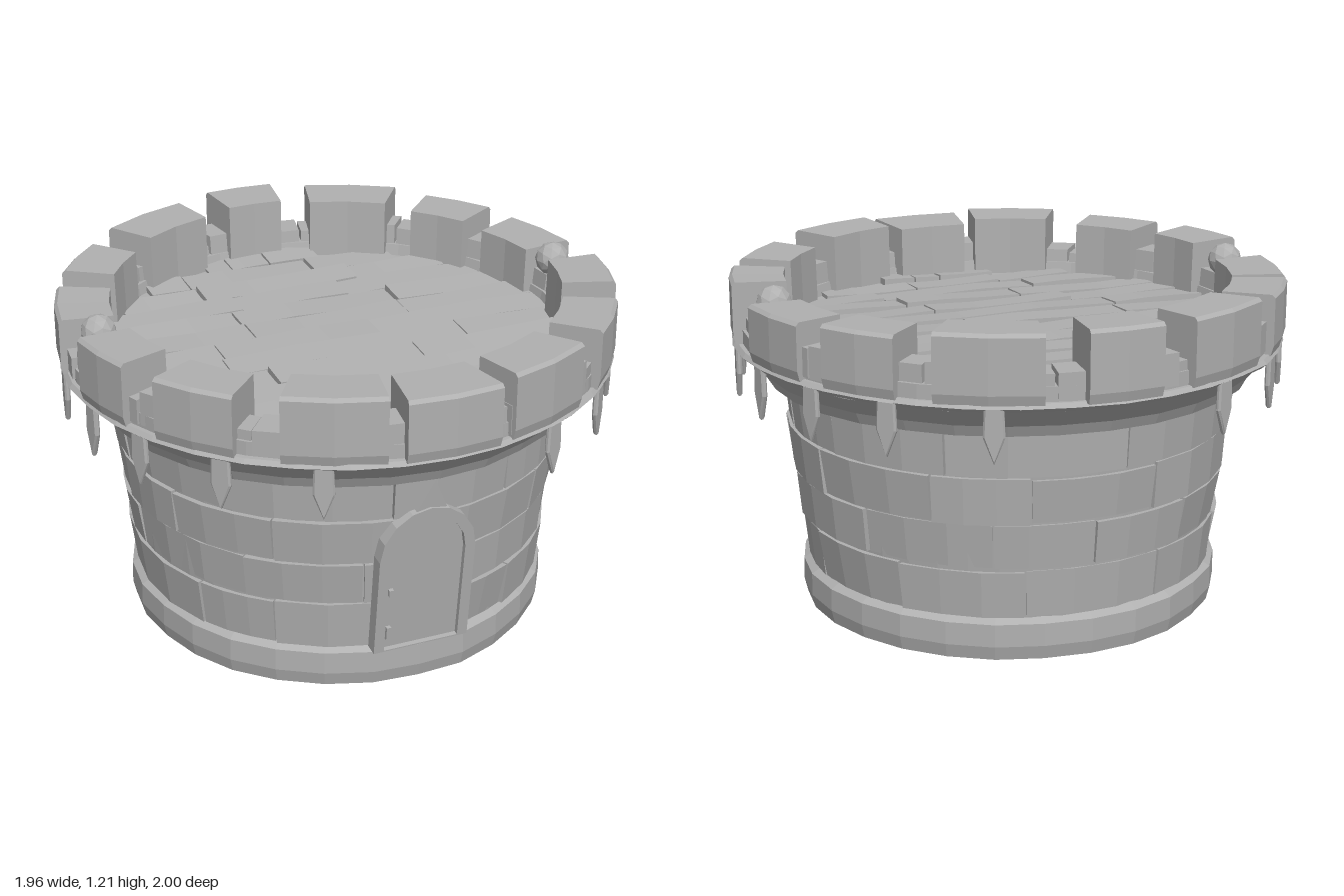
import * as THREE from 'three';

const TAU = Math.PI * 2, DEG = Math.PI / 180;

// Small seeded random, returns -1..1
let seed = 7;
const rnd = () => {
  seed = (seed * 16807) % 2147483647;
  return (seed / 2147483647) * 2 - 1;
};

// Sweeps a convex [radius, y] profile (counterclockwise) around the y axis;
// angle 0 faces the front. A full turn is closed, otherwise the ends are capped.
function sweep(profile, a0, a1, n, jitter = 0) {
  const closed = a1 - a0 > TAU - 0.001;
  const scale = Array.from({ length: n + 1 }, () => 1 + jitter * rnd());
  if (closed) scale[n] = scale[0];
  const point = (i, k) => {
    const a = a0 + ((a1 - a0) * i) / n;
    const [r, y] = profile[k % profile.length];
    return [Math.sin(a) * r * scale[i], y, Math.cos(a) * r * scale[i]];
  };
  const pos = [];
  for (let i = 0; i < n; i++) {
    for (let k = 0; k < profile.length; k++) {
      const ra = profile[k][0], rb = profile[(k + 1) % profile.length][0];
      const A = point(i, k), B = point(i, k + 1), C = point(i + 1, k), D = point(i + 1, k + 1);
      if (ra > 0) pos.push(...A, ...C, ...B);
      if (rb > 0) pos.push(...C, ...D, ...B);
    }
  }
  if (!closed) {
    for (let k = 1; k < profile.length - 1; k++) {
      pos.push(...point(0, 0), ...point(0, k), ...point(0, k + 1));
      pos.push(...point(n, 0), ...point(n, k + 1), ...point(n, k));
    }
  }
  const g = new THREE.BufferGeometry();
  g.setAttribute('position', new THREE.Float32BufferAttribute(pos, 3));
  g.computeVertexNormals();
  return g;
}

// Arch outline, straight sides with a rounded top
function arch(path, half, bottom, spring, rise) {
  path.moveTo(-half, bottom);
  path.lineTo(half, bottom);
  path.lineTo(half, spring);
  for (let i = 1; i <= 8; i++) {
    const a = (Math.PI * i) / 8;
    path.lineTo(Math.cos(a) * half, spring + Math.sin(a) * rise);
  }
  path.closePath();
  return path;
}

export function createModel() {
  seed = 7;
  const stone = new THREE.MeshStandardMaterial({ color: 0xb0b0b0, flatShading: true });
  stone.name = 'grey stone';
  const tower = new THREE.Group();
  tower.name = 'roundTower';
  const add = (name, geometry, parent = tower) => {
    const mesh = new THREE.Mesh(geometry, stone);
    mesh.name = name;
    parent.add(mesh);
    return mesh;
  };
  const group = (name) => {
    const g = new THREE.Group();
    g.name = name;
    tower.add(g);
    return g;
  };

  // Plinth and wall core
  add('plinth', sweep([[0, 0], [0.745, 0], [0.757, 0.05], [0.755, 0.13], [0.715, 0.155], [0, 0.155]], 0, TAU, 28, 0.006));
  add('wallCore', sweep([[0, 0.1], [0.722, 0.1], [0.798, 0.85], [0, 0.85]], 0, TAU, 44));

  // Four staggered courses of curved bricks
  const bricks = group('wallBricks');
  const wallR = (y) => 0.735 + (y - 0.15) * 0.118;
  const courses = [0.145, 0.325, 0.49, 0.66, 0.84];
  for (let row = 0; row < 4; row++) {
    const count = 11, start = row * 0.29;
    const joints = Array.from({ length: count }, (_, i) => start + (TAU * (i + 0.22 * rnd())) / count);
    joints.push(joints[0] + TAU);
    for (let i = 0; i < count; i++) {
      const y0 = courses[row] + 0.005 + rnd() * 0.004;
      const y1 = courses[row + 1] - 0.005 + rnd() * 0.004;
      const r0 = wallR(y0) + rnd() * 0.007, r1 = wallR(y1) + rnd() * 0.007;
      add('brick', sweep([[0.68, y0], [r0, y0], [r1, y1], [0.68, y1]],
        joints[i] + 0.005, joints[i + 1] - 0.005, 3, 0.003), bricks);
    }
  }

  // Flared cornice with a thin rim
  add('cornice', sweep([[0.76, 0.83], [0.865, 0.83], [0.885, 0.87], [0.945, 0.935], [0.945, 0.965], [0.76, 0.965]], 0, TAU, 32, 0.008));
  add('corniceRim', sweep([[0.8, 0.94], [0.965, 0.94], [0.982, 0.955], [0.97, 0.97], [0.8, 0.975]], 0, TAU, 36, 0.006));
  add('parapetBase', sweep([[0.81, 0.95], [0.955, 0.95], [0.955, 1.02], [0.825, 1.02]], 0, TAU, 36));

  // Low wall between the merlons, uneven in height
  const lowWall = group('lowWall');
  for (let i = 0; i < 28; i++) {
    const a = (i * TAU) / 28, y = 1.075 + 0.025 * rnd(), r = 0.955 + 0.012 * rnd();
    add('lowWallStone', sweep([[0.83, 0.98], [r, 0.98], [r, y], [0.84, y]], a, a + TAU / 28 - 0.01, 1), lowWall);
  }

  // Merlons: centre angle, half width (degrees), top height
  const merlons = group('merlons');
  const merlon = (angle, half, top, rIn = 0.79, rOut = 0.985) => {
    const c = angle * DEG, h = half * DEG;
    add('merlon', sweep([[rIn, 0.965], [rOut - 0.01, 0.965], [rOut, 1.0], [rOut, top - 0.012], [rOut - 0.012, top], [rIn + 0.005, top - 0.005]],
      c - h, c + h, 2), merlons);
  };
  merlon(0, 9.6, 1.185, 0.77, 0.995);
  merlon(180, 7.5, 1.21, 0.8, 1.0);
  const pairs = [[23, 10, 1.2], [50.5, 8.5, 1.185], [75, 7.8, 1.19], [104.5, 9, 1.165], [128, 8, 1.18], [154, 10.5, 1.2]];
  for (const [a, h, top] of pairs) for (const s of [1, -1]) merlon(s * a, h, top);

  // Round stones in the side gaps, each with small chips
  for (const s of [1, -1]) {
    const ball = add('roundStone', new THREE.IcosahedronGeometry(0.062, 1));
    ball.position.set(s * 0.865, 1.14, -0.01);
    for (const z of [-0.08, 0.07]) {
      const chip = add('stoneChip', new THREE.ConeGeometry(0.045, 0.1, 4));
      chip.position.set(s * 0.88, 1.11, z);
    }
  }

  // Deck of staggered planks running side to side
  add('deckBase', sweep([[0, 0.9], [0.86, 0.9], [0.86, 0.978], [0, 0.978]], 0, TAU, 36));
  const deck = group('deckPlanks');
  const rows = 13, depth = 1.66 / rows;
  for (let i = 0; i < rows; i++) {
    const z = (i - (rows - 1) / 2) * depth;
    const half = Math.sqrt(0.86 ** 2 - (Math.abs(z) + depth / 2) ** 2);
    const cuts = [-half, -half * 0.4 + rnd() * 0.16, half * 0.35 + rnd() * 0.16, half];
    for (let k = 0; k < 3; k++) {
      const length = cuts[k + 1] - cuts[k];
      const plank = add('plank', new THREE.BoxGeometry(length - 0.006, 0.03, depth - 0.004, 3, 1, 1), deck);
      const p = plank.geometry.attributes.position;
      for (let v = 0; v < p.count; v++) {
        // gentle waviness along each plank, equal at shared corners
        p.setY(v, p.getY(v) + 0.005 * Math.sin(p.getX(v) * 9 + i * 2 + k));
      }
      plank.position.set((cuts[k] + cuts[k + 1]) / 2, 0.978 + rnd() * 0.004, z);
      plank.rotation.x = 0.06 + 0.04 * rnd();
    }
  }

  // Pointed pendants hanging from the rim
  const pendants = group('pendants');
  const leaf = new THREE.Shape([[-0.032, 0.01], [-0.036, -0.09], [0, -0.18], [0.036, -0.09], [0.032, 0.01]]
    .reverse().map(([x, y]) => new THREE.Vector2(x, y)));
  const leafGeometry = new THREE.ExtrudeGeometry(leaf, {
    depth: 0.008, bevelEnabled: true, bevelSize: 0.006, bevelThickness: 0.006, bevelOffset: -0.006, bevelSegments: 1,
  });
  for (const a of [25, 45, 64, 80, 98, 116, 134, 155]) {
    for (const s of [1, -1]) {
      const pendant = add('pendant', leafGeometry, pendants);
      const t = s * a * DEG;
      pendant.position.set(Math.sin(t) * 0.962, 0.95, Math.cos(t) * 0.962);
      pendant.rotation.y = t;
    }
  }

  // Arched door leaning with the wall
  const door = group('door');
  door.position.set(-0.005, 0.145, 0.715);
  door.rotation.x = 0.115;
  const frame = arch(new THREE.Shape(), 0.175, 0, 0.38, 0.185);
  frame.holes.push(arch(new THREE.Path(), 0.138, 0.005, 0.38, 0.145));
  add('doorFrame', new THREE.ExtrudeGeometry(frame, { depth: 0.048, bevelEnabled: false }), door);
  add('doorPanel', new THREE.ExtrudeGeometry(arch(new THREE.Shape(), 0.14, 0, 0.38, 0.147), { depth: 0.03, bevelEnabled: false }), door);
  const keystone = new THREE.Shape([new THREE.Vector2(-0.05, 0.555), new THREE.Vector2(0.06, 0.555), new THREE.Vector2(0.01, 0.67)]);
  add('keystone', new THREE.ExtrudeGeometry(keystone, { depth: 0.04, bevelEnabled: false }), door);
  for (const [y, h] of [[0.24, 0.025], [0.07, 0.05]]) {
    add('doorHinge', new THREE.BoxGeometry(0.016, h, 0.02), door).position.set(-0.122, y, 0.034);
  }
  return tower;
}
